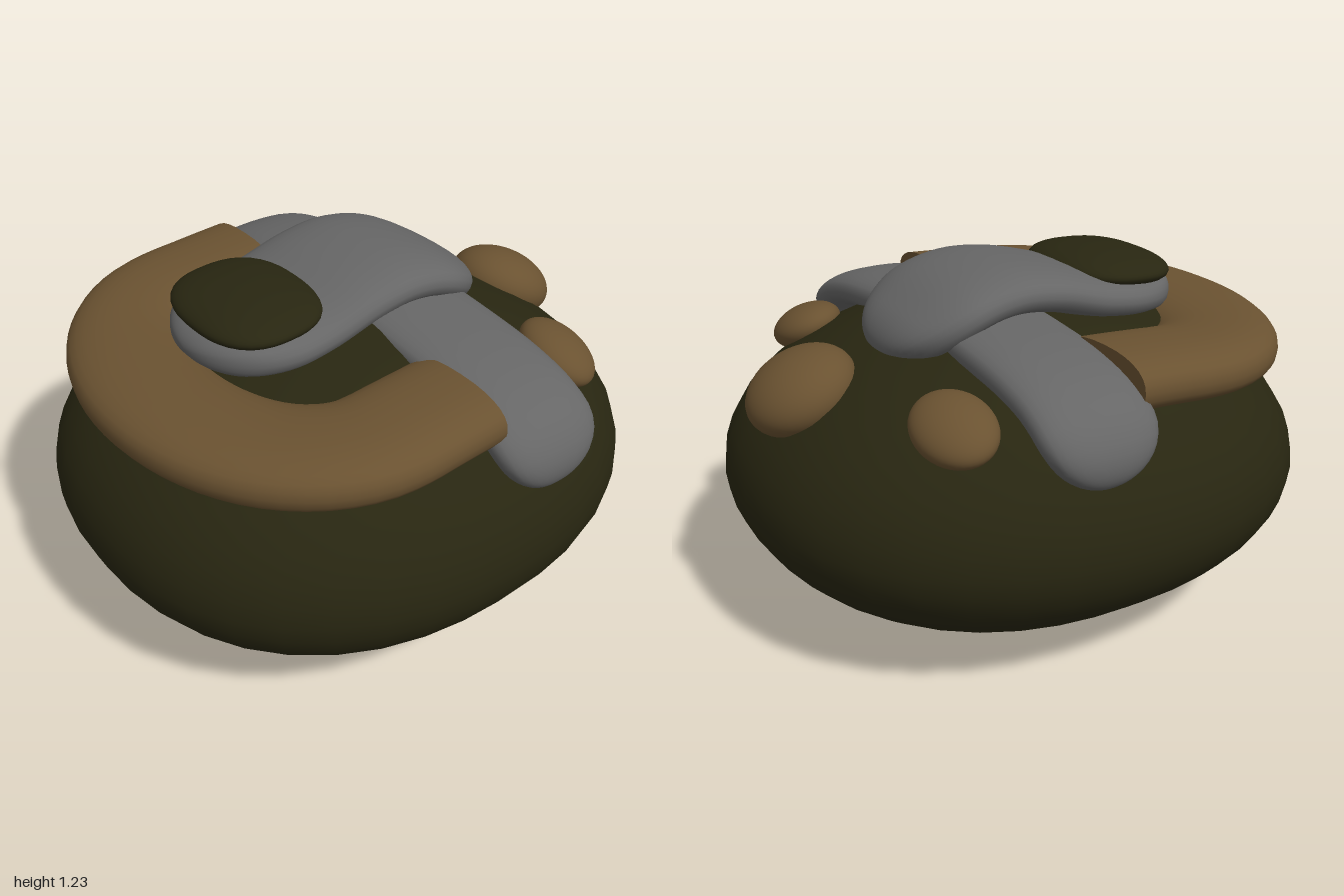
import * as THREE from 'three';

const material = (name, color) => {
  const m = new THREE.MeshStandardMaterial({ color });
  m.name = name;
  return m;
};

// Sweep a rounded-box section along a curve. With a fixed side vector the
// section leans with the path; without one it stays upright.
function sweep(curve, steps, width, height, power, fixedSide, capped) {
  const sides = 28, pos = [], idx = [];
  const length = curve.getLength();
  const Y = new THREE.Vector3(0, 1, 0);
  const bend = v => Math.sign(v) * Math.pow(Math.abs(v), 2 / power);
  for (let i = 0; i <= steps; i++) {
    const t = (1 - Math.cos(Math.PI * i / steps)) / 2;
    const c = curve.getPointAt(t), T = curve.getTangentAt(t);
    const side = fixedSide ? fixedSide.clone() : new THREE.Vector3().crossVectors(Y, T).normalize();
    const up = fixedSide ? new THREE.Vector3().crossVectors(T, side).normalize() : Y;
    const d = Math.min(t, 1 - t) * length;
    for (let j = 0; j < sides; j++) {
      const a = j / sides * Math.PI * 2;
      const p = c.clone()
        .addScaledVector(side, bend(Math.cos(a)) * width(d))
        .addScaledVector(up, bend(Math.sin(a)) * height(d));
      pos.push(p.x, p.y, p.z);
    }
  }
  for (let i = 0; i < steps; i++) for (let j = 0; j < sides; j++) {
    const a = i * sides + j, b = i * sides + (j + 1) % sides;
    idx.push(a, b, a + sides, b, b + sides, a + sides);
  }
  // flat ends get their own vertices so the rim stays sharp
  if (capped) for (const row of [0, steps]) {
    const base = pos.length / 3;
    for (let j = 0; j < sides * 3; j++) {
      if (j < sides * 3 && j < sides) pos.push(...pos.slice((row * sides + j) * 3, (row * sides + j) * 3 + 3));
    }
    for (let j = 1; j < sides - 1; j++) {
      if (row) idx.push(base, base + j, base + j + 1);
      else idx.push(base, base + j + 1, base + j);
    }
  }
  const g = new THREE.BufferGeometry();
  g.setAttribute('position', new THREE.Float32BufferAttribute(pos, 3));
  g.setIndex(idx);
  g.computeVertexNormals();
  return g;
}

// Ellipsoid whose plan is slightly squared off
function pebble(rx, top, bottom, rz, power, w = 40, h = 24) {
  const g = new THREE.SphereGeometry(1, w, h), p = g.attributes.position;
  for (let i = 0; i < p.count; i++) {
    const x = p.getX(i), y = p.getY(i), z = p.getZ(i), r = Math.hypot(x, z);
    const k = r < 1e-6 ? 1 : 1 / Math.pow(Math.pow(Math.abs(x / r), power) + Math.pow(Math.abs(z / r), power), 1 / power);
    p.setXYZ(i, x * k * rx, y * (y > 0 ? top : bottom), z * k * rz);
  }
  g.computeVertexNormals();
  // keep the seam and poles smooth
  const n = g.attributes.normal;
  for (let row = 0; row <= h; row++) {
    const a = row * (w + 1), b = a + w;
    const v = new THREE.Vector3(n.getX(a) + n.getX(b), n.getY(a) + n.getY(b), n.getZ(a) + n.getZ(b)).normalize();
    n.setXYZ(a, v.x, v.y, v.z);
    n.setXYZ(b, v.x, v.y, v.z);
  }
  for (let i = 0; i <= w; i++) {
    n.setXYZ(i, 0, 1, 0);
    n.setXYZ(h * (w + 1) + i, 0, -1, 0);
  }
  return g;
}

const spline = pts => new THREE.CatmullRomCurve3(pts.map(p => new THREE.Vector3(...p)));
const roundEnd = (d, r) => d >= r ? 1 : Math.sqrt(Math.max(0, 1 - (1 - d / r) ** 2));

export function createModel() {
  const model = new THREE.Group();
  const olive = material('dark olive', 0x282611);
  const tan = material('tan brown', 0x6a5231);
  const grey = material('mid grey', 0x666666);
  const add = (name, geometry, mat, x = 0, y = 0, z = 0) => {
    const mesh = new THREE.Mesh(geometry, mat);
    mesh.name = name;
    mesh.position.set(x, y, z);
    model.add(mesh);
    return mesh;
  };

  // Body
  add('body', pebble(0.935, 0.57, 0.5, 1, 2.25), olive, 0, 0.5, 0);

  // U-shaped collar, open at the back
  const uPath = [];
  const collarY = z => 0.925 + 0.04 * THREE.MathUtils.clamp((0.6 - z) / 0.6, 0, 1);
  for (const z of [-0.02, 0.09, 0.18]) uPath.push([-0.595, collarY(z), z]);
  for (let i = 0; i <= 16; i++) {
    const a = Math.PI * (1 - i / 16), z = 0.27 + 0.43 * Math.sin(a);
    uPath.push([0.595 * Math.cos(a), collarY(z), z]);
  }
  for (const z of [0.18, 0.09, -0.02]) uPath.push([0.595, collarY(z), z]);
  add('collar', sweep(spline(uPath), 64, () => 0.215, () => 0.095, 2.4, null, true), tan);

  // Strap lying across the body
  const cross = [[0.87, 0.73], [0.82, 0.87], [0.73, 0.935], [0.58, 0.98], [0.35, 1.01]];
  const crossPath = spline([
    ...cross.map(([x, y]) => [-x, y, -0.185]),
    [0, 1.03, -0.185],
    ...cross.slice().reverse().map(([x, y]) => [x, y, -0.185])
  ]);
  add('crossStrap', sweep(crossPath, 56, d => 0.205 * roundEnd(d, 0.2), d => 0.07 * roundEnd(d, 0.12),
    2.5, new THREE.Vector3(0, 0, -1)), grey);

  // Arched strap over the top
  const archPath = spline([[-0.53, 0.96], [-0.44, 1.03], [-0.3, 1.115], [-0.15, 1.148], [0, 1.135],
    [0.2, 1.085], [0.4, 1.065], [0.58, 1.06]].map(([z, y]) => [-0.05, y, z]));
  add('archStrap', sweep(archPath, 56, d => 0.302 * roundEnd(d, 0.3), d => 0.08 * roundEnd(d, 0.14),
    2.5, new THREE.Vector3(1, 0, 0)), grey);

  // Dark pad on the front of the arched strap
  add('pad', pebble(0.268, 0.065, 0.065, 0.212, 2.5), olive, -0.05, 1.145, 0.338).rotation.x = 0.05;

  // Three studs on the back
  add('backStud', pebble(0.188, 0.12, 0.12, 0.19, 2), tan, 0, 0.867, -0.78).rotation.x = -0.45;
  for (const [name, x, tilt] of [['leftStud', 0.52, -0.3], ['rightStud', -0.59, 0.3]]) {
    add(name, pebble(0.158, 0.075, 0.075, 0.125, 2), tan, x, 0.897, -0.545).rotation.set(-0.3, 0, tilt);
  }
  return model;
}
